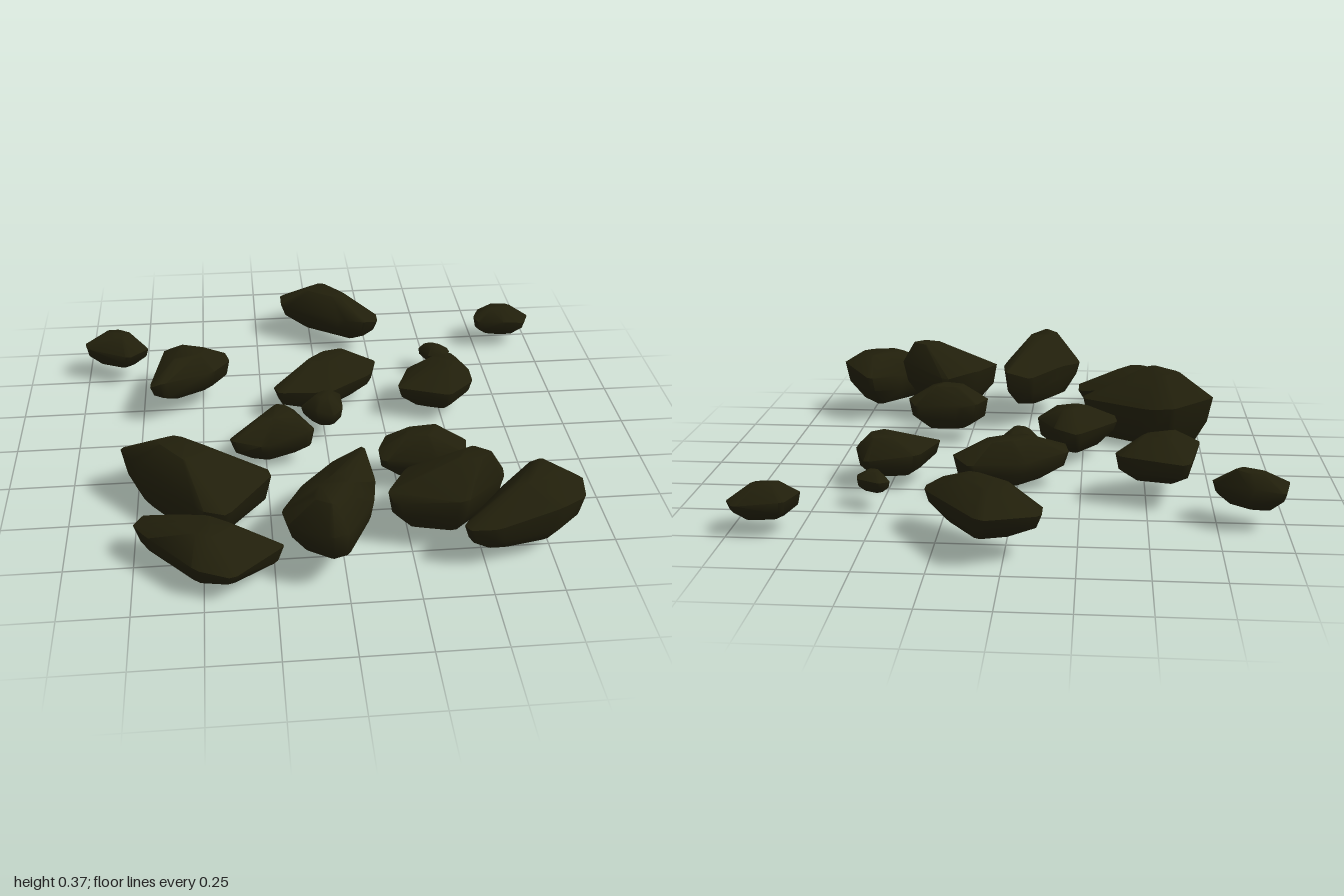
import * as THREE from 'three';
import { ConvexGeometry } from 'three/addons/geometries/ConvexGeometry.js';
import { toCreasedNormals } from 'three/addons/utils/BufferGeometryUtils.js';

// A rock is the hull of four rings that follow its plan outline:
// underside, lower girth, upper girth and a crest drawn toward the peak.
// Every outline corner is cut in two so that the rock looks worn.
function rockGeometry({ outline, y, peak, base, tilt = [0, 0], foot = 0.55, crest = 0.4 }, seed) {
  let state = seed * 7919 + 17;
  const wobble = () => {
    state = (state * 16807) % 2147483647;
    return (state / 2147483647 - 0.5) * 2;
  };
  const n = outline.length;
  const cx = outline.reduce((s, p) => s + p[0], 0) / n;
  const cz = outline.reduce((s, p) => s + p[1], 0) / n;
  const [bottom, top] = y;
  const [px, pz] = peak || [cx, cz];
  const [bx, bz] = base || [cx, cz];

  const rings = [
    { level: 0.02, scale: foot, x: bx, z: bz, rough: 0.02 },
    { level: 0.3, scale: 0.93, x: cx, z: cz, rough: 0.07 },
    { level: 0.6, scale: 1.01, x: cx, z: cz, rough: 0.07 },
    { level: 0.98, scale: crest, x: px, z: pz, rough: 0.02 },
  ];
  const points = [];
  for (const r of rings) {
    outline.forEach(([ox, oz], i) => {
      const level = r.level + r.rough * wobble();
      for (const [ex, ez] of [outline[(i + n - 1) % n], outline[(i + 1) % n]]) {
        const x = r.x + (ox + (ex - ox) * 0.09 - cx) * r.scale;
        const z = r.z + (oz + (ez - oz) * 0.09 - cz) * r.scale;
        const lean = (tilt[0] * (x - cx) + tilt[1] * (z - cz)) * Math.min(1, level * 1.5);
        const py = bottom + (top - bottom) * level + lean;
        points.push(new THREE.Vector3(x, THREE.MathUtils.clamp(py, bottom, top), z));
      }
    });
  }
  return toCreasedNormals(new ConvexGeometry(points), 0.9);
}

// Plan outlines are [x, z]; y is [underside, crest].
const rocks = {
  backRock: {
    outline: [[-0.13, -0.9], [0.07, -0.99], [0.29, -0.69], [0.29, -0.63], [0.23, -0.59], [0.14, -0.63], [-0.13, -0.81]],
    y: [0.08, 0.27], peak: [0.08, -0.77],
  },
  farLeftRock: {
    outline: [[0.74, -0.67], [0.78, -0.76], [0.96, -0.77], [1, -0.71], [0.97, -0.64], [0.88, -0.62], [0.76, -0.64]],
    y: [0.07, 0.2], peak: [0.86, -0.69], tilt: [-0.06, 0],
  },
  farRightRock: {
    outline: [[-1, -0.53], [-0.98, -0.6], [-0.86, -0.61], [-0.74, -0.52], [-0.73, -0.49], [-0.81, -0.43], [-0.99, -0.51]],
    y: [0.09, 0.235], peak: [-0.86, -0.54],
  },
  pebble: {
    outline: [[0.455, -0.47], [0.49, -0.505], [0.58, -0.46], [0.585, -0.42], [0.56, -0.39], [0.49, -0.4], [0.47, -0.44]],
    y: [0.08, 0.16],
  },
  innerRightRock: {
    outline: [[-0.71, -0.14], [-0.65, -0.44], [-0.4, -0.37], [-0.38, -0.31], [-0.45, -0.22], [-0.66, -0.13]],
    y: [0.1, 0.275], peak: [-0.54, -0.28],
  },
  middleRock: {
    outline: [[-0.2, -0.17], [-0.03, -0.33], [0.17, -0.38], [0.24, -0.3], [0.21, -0.23], [0.03, -0.11], [-0.18, -0.1]],
    y: [0.05, 0.24], peak: [0.04, -0.26],
  },
  centreStone: {
    outline: [[-0.1, -0.03], [-0.03, -0.1], [0.07, -0.11], [0.07, 0.02], [0.03, 0.05], [-0.04, 0.03]],
    y: [0.07, 0.2],
  },
  innerLeftRock: {
    outline: [[0.31, -0.1], [0.38, -0.27], [0.58, -0.32], [0.63, -0.22], [0.63, -0.13], [0.52, -0.03], [0.4, -0.07]],
    y: [0.055, 0.225], peak: [0.52, -0.2],
  },
  wedgeRock: {
    outline: [[-0.39, 0.2], [-0.23, 0.01], [-0.14, 0.03], [-0.06, 0.18], [-0.07, 0.2], [-0.26, 0.26], [-0.38, 0.24]],
    y: [0.06, 0.24], peak: [-0.2, 0.15],
  },
  oblongRock: {
    outline: [[0.17, 0.37], [0.21, 0.28], [0.28, 0.27], [0.47, 0.27], [0.51, 0.34], [0.5, 0.39], [0.38, 0.45], [0.18, 0.42]],
    y: [0.075, 0.265], peak: [0.34, 0.35],
  },
  bigRightBoulder: {
    outline: [[-0.8, 0.33], [-0.62, 0.23], [-0.52, 0.26], [-0.23, 0.46], [-0.41, 0.7], [-0.5, 0.69], [-0.75, 0.41]],
    y: [0.01, 0.32], peak: [-0.57, 0.45], tilt: [-0.08, 0], foot: 0.72, crest: 0.35,
  },
  frontRightBoulder: {
    outline: [[-0.74, 0.71], [-0.7, 0.66], [-0.42, 0.69], [-0.22, 0.79], [-0.22, 0.83], [-0.4, 0.98], [-0.52, 0.94], [-0.7, 0.76]],
    y: [0.03, 0.23], peak: [-0.5, 0.79], base: [-0.48, 0.77], tilt: [-0.1, 0], foot: 0.45,
  },
  frontBoulder: {
    outline: [[-0.22, 0.78], [-0.14, 0.66], [-0.01, 0.5], [0.1, 0.47], [0.12, 0.65], [0.1, 0.78], [0, 0.95], [-0.06, 0.97], [-0.2, 0.87]],
    y: [0.11, 0.38], peak: [-0.05, 0.83], foot: 0.65, crest: 0.36,
  },
  tallLeftBoulder: {
    outline: [[0.16, 0.71], [0.24, 0.58], [0.37, 0.5], [0.58, 0.64], [0.58, 0.67], [0.42, 0.81], [0.18, 0.74]],
    y: [0.09, 0.37], peak: [0.47, 0.66], tilt: [0.1, 0], foot: 0.62, crest: 0.28,
  },
  frontLeftBoulder: {
    outline: [[0.41, 0.85], [0.58, 0.66], [0.72, 0.53], [0.86, 0.69], [0.86, 0.76], [0.76, 0.84], [0.52, 0.89], [0.43, 0.88]],
    y: [0.08, 0.31], peak: [0.69, 0.72], tilt: [0.12, 0], foot: 0.65,
  },
};

export function createModel() {
  const group = new THREE.Group();
  group.name = 'scatteredRocks';
  const stone = new THREE.MeshStandardMaterial({ color: 0x211f0b });
  stone.name = 'darkOliveStone';
  Object.entries(rocks).forEach(([name, spec], i) => {
    const mesh = new THREE.Mesh(rockGeometry(spec, i + 1), stone);
    mesh.name = name;
    group.add(mesh);
  });
  return group;
}
